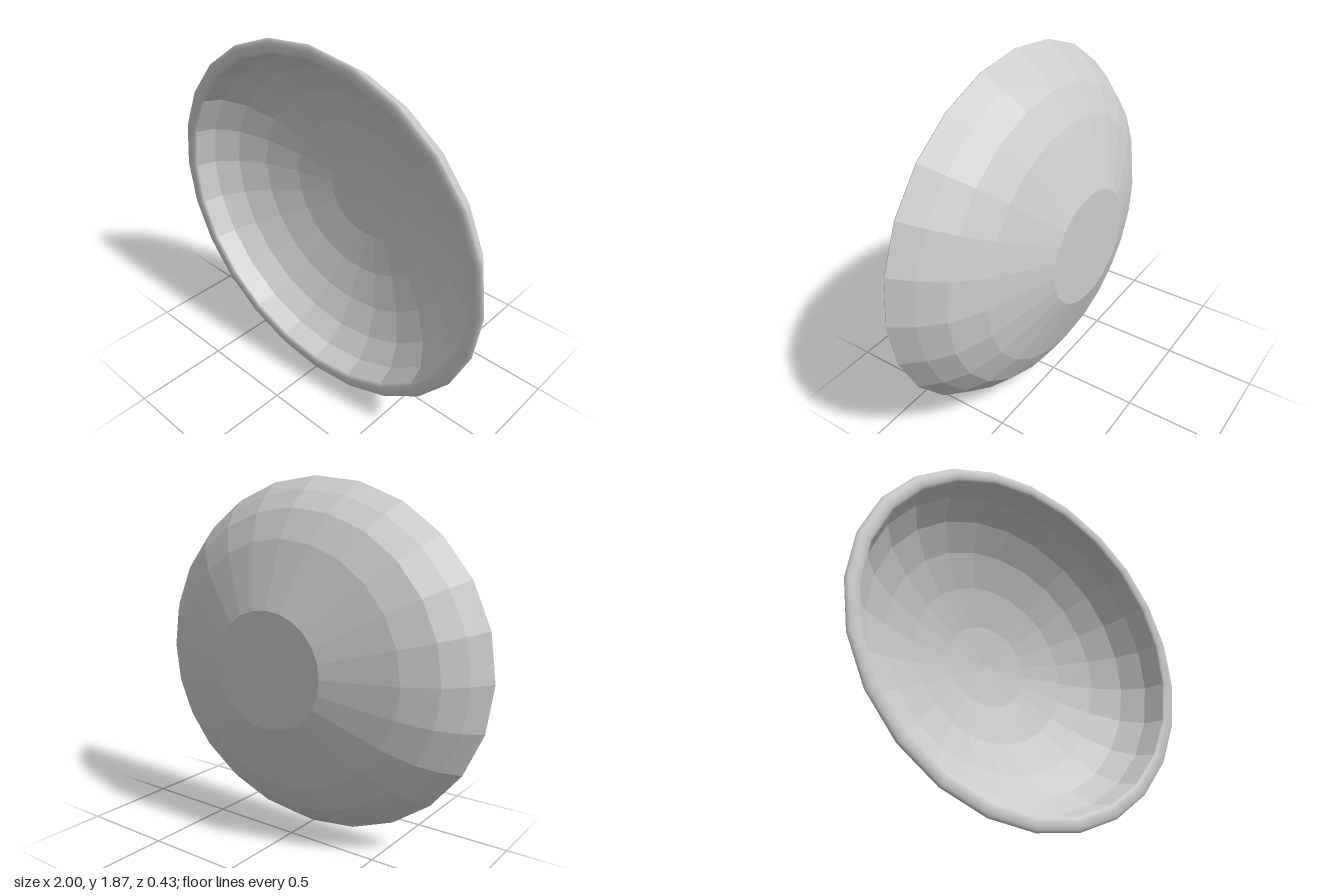
import * as THREE from 'three';

const SIDES = 24;
const HALF_HEIGHT = 0.935; // the dish is slightly oval: 2 wide, 1.87 high
const RIM_Z = 0.2;
const INNER_R = 0.925;
const INNER_DEPTH = 0.405;

// Turns a profile of [radius, z] points about the z axis, squashed to the oval
function turned(name, profile, flatShading) {
  const points = profile.map(([r, z]) => new THREE.Vector2(r, z));
  const geometry = new THREE.LatheGeometry(points, SIDES);
  geometry.rotateX(Math.PI / 2);
  geometry.scale(1, HALF_HEIGHT, 1);
  geometry.translate(0, HALF_HEIGHT, 0);
  const material = new THREE.MeshStandardMaterial({ color: 0xcccccc, flatShading });
  const mesh = new THREE.Mesh(geometry, material);
  mesh.name = name;
  return mesh;
}

export function createModel() {
  const group = new THREE.Group();
  group.name = 'ovalBowl';

  // Faceted outer shell with a flat base at the back
  group.add(turned('outerShell', [
    [0, -0.213], [0.318, -0.213], [0.676, -0.093],
    [0.833, -0.004], [0.928, 0.095], [1, RIM_Z],
  ], true));

  // Faceted hollow: a flattened hemisphere, from the rim to the pole
  const hollow = [];
  for (let i = 6; i >= 0; i--) {
    const a = (i * Math.PI) / 12;
    hollow.push([INNER_R * Math.sin(a), RIM_Z - INNER_DEPTH * Math.cos(a)]);
  }
  group.add(turned('innerHollow', hollow, true));

  // Smooth rounded lip joining the two
  const lip = [];
  const half = (1 - INNER_R) / 2;
  for (let i = 0; i <= 8; i++) {
    const a = (i * Math.PI) / 8;
    lip.push([1 - half + half * Math.cos(a), RIM_Z + 0.013 * Math.sin(a)]);
  }
  group.add(turned('rimLip', lip, false));

  return group;
}
